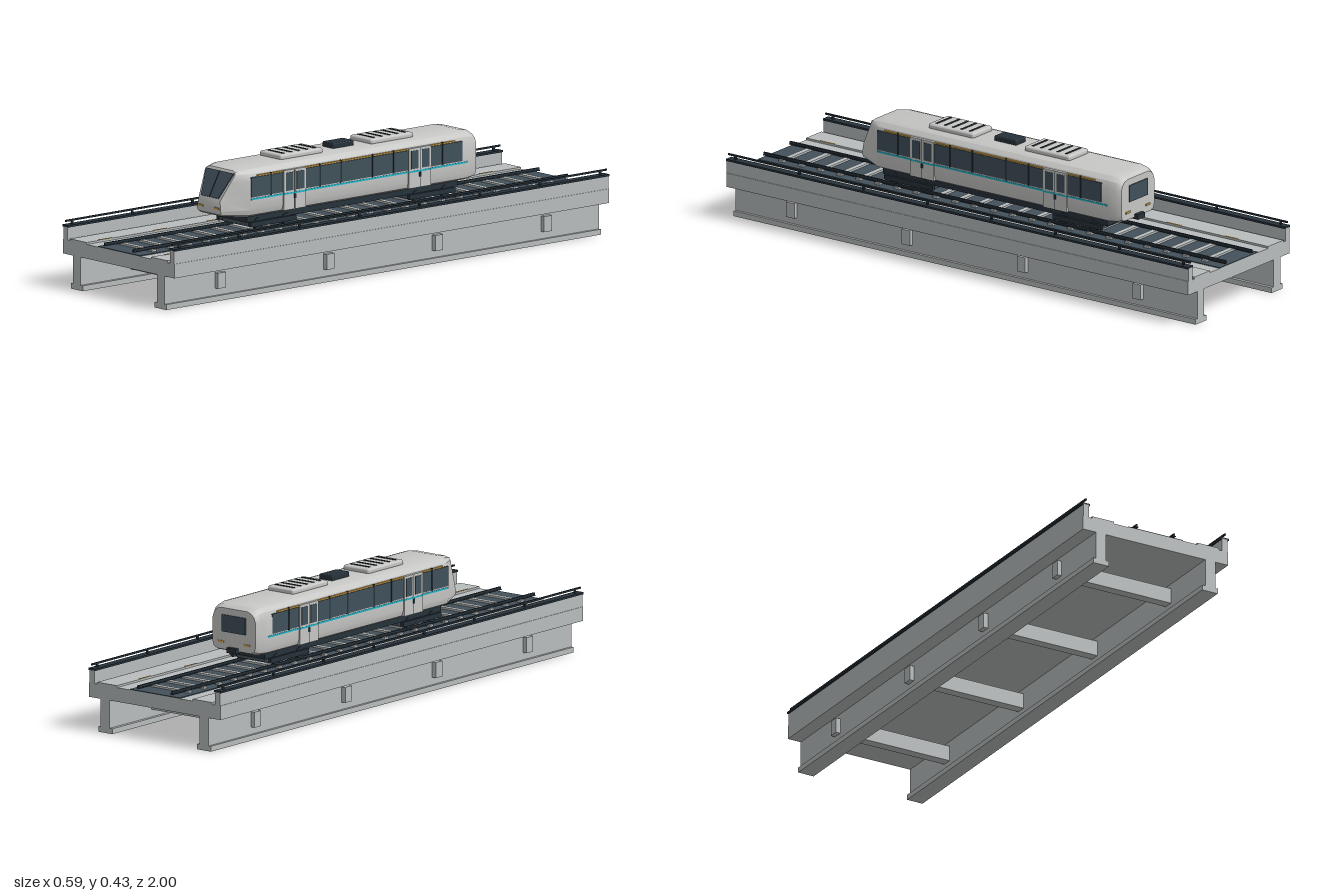
import * as THREE from 'three';
import { toCreasedNormals } from 'three/addons/utils/BufferGeometryUtils.js';
import { RoundedBoxGeometry } from 'three/addons/geometries/RoundedBoxGeometry.js';

const mat = (name, color) => {
  const m = new THREE.MeshStandardMaterial({ color });
  m.name = name;
  return m;
};

export function createModel() {
  const concrete = mat('concrete', 0xb8bcbc);
  const shell = mat('train shell', 0xc6c7c5);
  const bed = mat('slate track bed', 0x43515b);
  const glass = mat('window glass', 0x40505a);
  const dark = mat('dark metal', 0x26313a);
  const cyan = mat('cyan stripe', 0x1fb4c8);
  const amber = mat('amber', 0xd0a048);

  const model = new THREE.Group();
  model.name = 'trainOnViaduct';
  const viaduct = new THREE.Group();
  viaduct.name = 'viaduct';
  const train = new THREE.Group();
  train.name = 'train';
  model.add(viaduct, train);

  const add = (parent, name, geo, material, x = 0, y = 0, z = 0) => {
    const m = new THREE.Mesh(geo, material);
    m.name = name;
    m.position.set(x, y, z);
    parent.add(m);
    return m;
  };
  // Box given by its limits on each axis
  const box = (parent, name, material, x0, x1, y0, y1, z0, z1, r = 0) => {
    const s = [Math.abs(x1 - x0), y1 - y0, z1 - z0];
    const geo = r ? new RoundedBoxGeometry(...s, 2, r) : new THREE.BoxGeometry(...s);
    return add(parent, name, geo, material, (x0 + x1) / 2, (y0 + y1) / 2, (z0 + z1) / 2);
  };
  const sides = [1, -1];

  // Bridge deck, girders and cross beams
  box(viaduct, 'deck', concrete, -0.292, 0.292, 0.118, 0.168, -1, 1);
  for (const s of sides) {
    box(viaduct, 'girderWeb', concrete, s * 0.2, s * 0.24, 0.018, 0.118, -1, 1);
    box(viaduct, 'girderFoot', concrete, s * 0.188, s * 0.25, 0, 0.019, -1, 1);
    box(viaduct, 'parapet', concrete, s * 0.268, s * 0.29, 0.168, 0.214, -1, 1);
    box(viaduct, 'parapetCap', dark, s * 0.264, s * 0.295, 0.213, 0.22, -1, 1);
    box(viaduct, 'handrail', dark, s * 0.277, s * 0.283, 0.231, 0.237, -1, 1);
    for (let i = 0; i < 8; i++) {
      const z = -0.97 + i * 0.277;
      box(viaduct, 'handrailPost', dark, s * 0.277, s * 0.283, 0.22, 0.232, z - 0.004, z + 0.004);
    }
    box(viaduct, 'walkway', concrete, s * 0.168, s * 0.255, 0.168, 0.175, -1, 1);
    for (let i = 0; i < 8; i++) {
      const z = -0.84 + i * 0.25;
      box(viaduct, 'walkwayMark', amber, s * 0.169, s * 0.174, 0.175, 0.1765, z - 0.03, z + 0.03);
    }
    // Rail with a foot, web and head
    box(viaduct, 'railFoot', dark, s * 0.069, s * 0.081, 0.177, 0.18, -1, 1);
    box(viaduct, 'railHead', dark, s * 0.072, s * 0.078, 0.179, 0.188, -1, 1);
  }
  for (const z of [-0.75, -0.25, 0.25, 0.75])
    box(viaduct, 'crossBeam', concrete, -0.257, 0.257, 0.045, 0.1, z - 0.018, z + 0.018);

  // Track bed and sleepers
  box(viaduct, 'trackBed', bed, -0.11, 0.11, 0.168, 0.171, -1, 1);
  for (let i = 0; i < 23; i++) {
    const z = -0.915 + i * 0.0832;
    box(viaduct, 'sleeper', concrete, -0.09, 0.09, 0.171, 0.178, z - 0.01, z + 0.01);
  }

  // Train body: half sections from sill to roof, mirrored and lofted from rear to nose
  const section = [[0.085, 0.235], [0.102, 0.243], [0.108, 0.262], [0.108, 0.305],
    [0.108, 0.365], [0.1, 0.388], [0.085, 0.402], [0.065, 0.408]];
  const scaled = (z, kx, ky) => section.map(([x, y]) => [x * kx, 0.3 + (y - 0.3) * ky, z]);
  const nose = [[0.052, 0.243, 0.572], [0.06, 0.25, 0.582], [0.062, 0.262, 0.585], [0.056, 0.298, 0.583],
    [0.071, 0.36, 0.549], [0.078, 0.385, 0.535], [0.075, 0.395, 0.53], [0.06, 0.4, 0.527]];
  const rings = [scaled(-0.562, 0.88, 0.85), scaled(-0.545, 0.95, 0.95), scaled(-0.51, 1, 1), scaled(0.485, 1, 1), nose]
    .map(h => [...h, ...h.slice().reverse().map(([x, y, z]) => [-x, y, z])]);
  const n = rings[0].length, pos = [];
  const quad = (a, b, c, d) => pos.push(...a, ...b, ...c, ...a, ...c, ...d);
  for (let k = 0; k < rings.length - 1; k++)
    for (let i = 0; i < n; i++) {
      const j = (i + 1) % n;
      quad(rings[k][i], rings[k][j], rings[k + 1][j], rings[k + 1][i]);
    }
  const first = rings[0], last = rings[rings.length - 1];
  for (let i = 0; i < n / 2 - 1; i++) {
    quad(last[i], last[i + 1], last[n - 2 - i], last[n - 1 - i]);
    quad(first[n - 1 - i], first[n - 2 - i], first[i + 1], first[i]);
  }
  const bodyGeo = new THREE.BufferGeometry();
  bodyGeo.setAttribute('position', new THREE.Float32BufferAttribute(pos, 3));
  add(train, 'body', toCreasedNormals(bodyGeo, 0.45), shell);

  // Windscreen lying on the sloping nose, with a centre bar
  const screen = new THREE.Group();
  screen.name = 'windscreen';
  screen.position.set(0, 0.305, 0.579);
  screen.rotation.x = -Math.atan(0.55);
  train.add(screen);
  const outline = new THREE.Shape([[-0.045, 0], [0.045, 0], [0.073, 0.098], [-0.073, 0.098]]
    .map(p => new THREE.Vector2(...p)));
  add(screen, 'windscreenGlass', new THREE.ExtrudeGeometry(outline, { depth: 0.004, bevelEnabled: false }), glass);
  box(screen, 'windscreenBar', dark, -0.0015, 0.0015, 0, 0.098, 0.003, 0.006);

  // Rear window and coupler
  box(train, 'rearWindow', glass, -0.052, 0.052, 0.308, 0.368, -0.566, -0.56);
  box(train, 'rearCoupler', dark, -0.02, 0.02, 0.238, 0.256, -0.578, -0.55);

  for (const s of sides) {
    box(train, 'headlight', amber, s * 0.029, s * 0.057, 0.268, 0.275, 0.58, 0.588);
    box(train, 'tailLight', amber, s * 0.045, s * 0.07, 0.268, 0.275, -0.565, -0.56);

    // Side glazing, stripes and window bars
    box(train, 'sideWindows', glass, s * 0.104, s * 0.1095, 0.307, 0.377, -0.485, 0.485);
    box(train, 'windowTrim', amber, s * 0.1, s * 0.109, 0.378, 0.383, -0.455, 0.455);
    box(train, 'sideStripe', cyan, s * 0.104, s * 0.1098, 0.297, 0.303, -0.51, 0.485);
    for (const z of [-0.395, -0.17, -0.073, 0.073, 0.17, 0.395])
      box(train, 'windowBar', dark, s * 0.105, s * 0.111, 0.305, 0.385, z - 0.003, z + 0.003);

    // Double doors
    for (const zc of [-0.288, 0.288]) {
      box(train, 'doorPanel', shell, s * 0.1, s * 0.113, 0.242, 0.383, zc - 0.051, zc + 0.051);
      box(train, 'doorGap', dark, s * 0.11, s * 0.1135, 0.244, 0.381, zc - 0.001, zc + 0.001);
      box(train, 'doorStripe', cyan, s * 0.11, s * 0.1137, 0.297, 0.303, zc - 0.05, zc + 0.05);
      box(train, 'doorHandle', dark, s * 0.11, s * 0.116, 0.28, 0.296, zc - 0.004, zc + 0.004);
      for (const d of sides)
        box(train, 'doorWindow', glass, s * 0.11, s * 0.1145, 0.31, 0.374,
          zc + d * 0.025 - 0.017, zc + d * 0.025 + 0.017);
    }
  }

  // Roof units with louvres, and the centre roof box
  for (const zc of [-0.21, 0.206]) {
    box(train, 'roofUnit', shell, -0.057, 0.057, 0.404, 0.425, zc - 0.098, zc + 0.098, 0.008);
    for (let i = -2; i <= 2; i++)
      box(train, 'louvre', dark, -0.042, 0.042, 0.424, 0.427, zc + i * 0.036 - 0.004, zc + i * 0.036 + 0.004);
  }
  box(train, 'roofBox', dark, -0.029, 0.029, 0.404, 0.426, -0.057, 0.038, 0.004);

  // Underframe and bogies
  box(train, 'underframe', dark, -0.08, 0.08, 0.213, 0.238, -0.49, 0.48);
  const wheelGeo = new THREE.CylinderGeometry(0.02, 0.02, 0.016, 20).rotateZ(Math.PI / 2);
  for (const zc of [-0.365, 0.365]) {
    box(train, 'bogieFrame', bed, -0.07, 0.07, 0.194, 0.232, zc - 0.1, zc + 0.1, 0.006);
    for (const s of sides) {
      box(train, 'bogieSideBeam', dark, s * 0.078, s * 0.09, 0.196, 0.214, zc - 0.105, zc + 0.105);
      for (const d of sides)
        add(train, 'wheel', wheelGeo, dark, s * 0.075, 0.205, zc + d * 0.065);
    }
  }
  return model;
}
